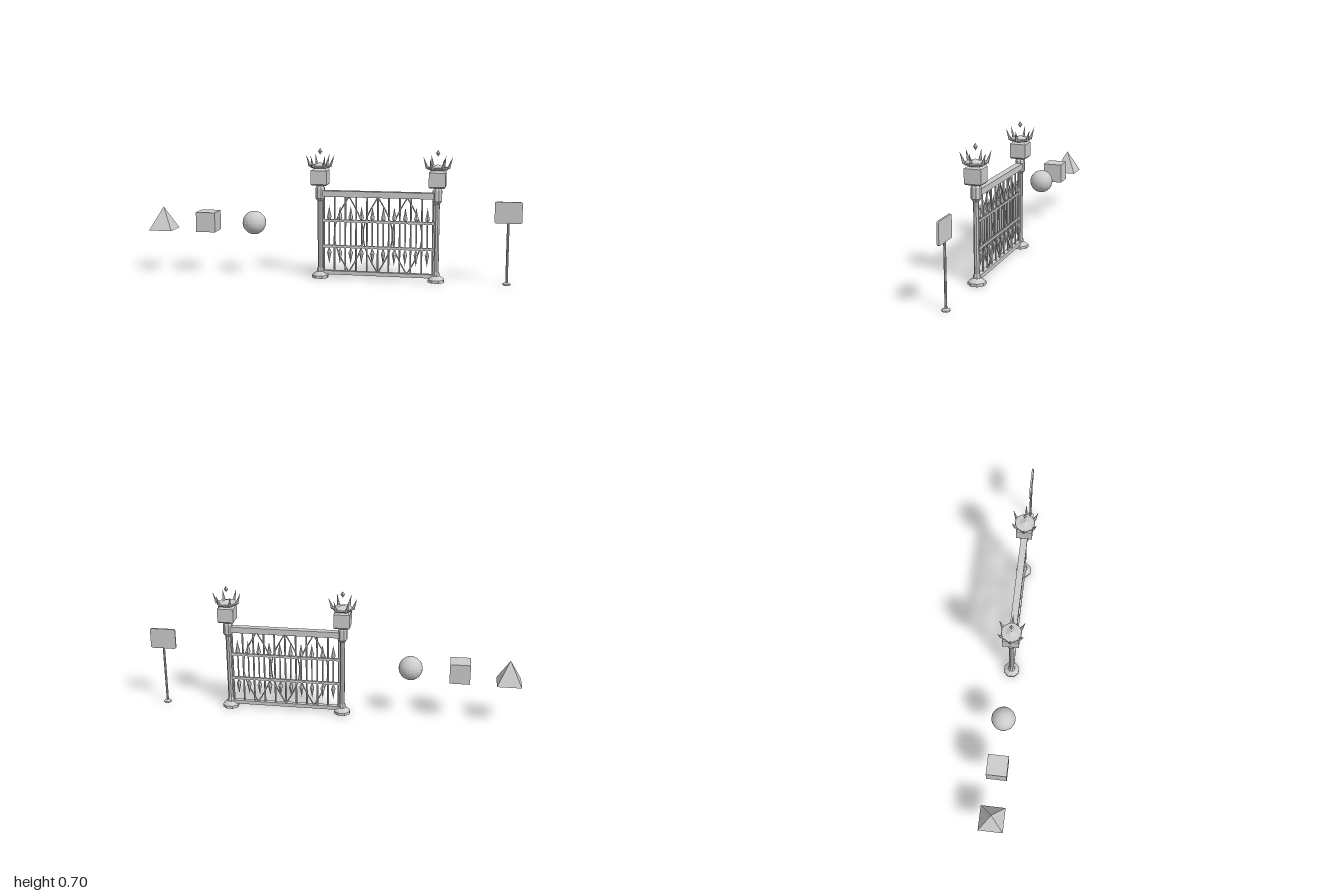
import * as THREE from 'three';

const stone = new THREE.MeshStandardMaterial({ color: 0xcccccc });
stone.name = 'light grey';
stone.flatShading = true;

function add(parent, name, geometry, x = 0, y = 0, z = 0) {
  const mesh = new THREE.Mesh(geometry, stone);
  mesh.name = name;
  mesh.position.set(x, y, z);
  parent.add(mesh);
  return mesh;
}

// Turned solid with few sides from [radius, height] pairs, bottom to top
function turned(points, sides, turn = 0) {
  return new THREE.LatheGeometry(points.map(([r, y]) => new THREE.Vector2(r, y)), sides, turn);
}

// Straight round bar between two heights
function bar(parent, name, x, y0, y1, r, sides = 6) {
  return add(parent, name, new THREE.CylinderGeometry(r, r, y1 - y0, sides), x, (y0 + y1) / 2);
}

function createPost(x) {
  const post = new THREE.Group();
  post.name = 'gatePost';
  post.position.x = x;

  // Base, shaft and collar
  add(post, 'column', turned([
    [0, 0], [0.045, 0], [0.045, 0.015], [0.02, 0.034], [0.019, 0.044], [0.014, 0.056],
    [0.014, 0.415], [0.026, 0.43], [0.026, 0.485], [0.017, 0.5], [0, 0.5],
  ], 8, Math.PI / 8));

  // Square block with chamfered top and bottom
  const q = Math.SQRT2;
  add(post, 'block', turned([
    [0, 0.5], [0.037 * q, 0.5], [0.043 * q, 0.507], [0.043 * q, 0.58], [0.025 * q, 0.594], [0, 0.594],
  ], 4, Math.PI / 4));

  // Hexagonal crown with six outward spikes
  add(post, 'crownBand', turned([
    [0, 0.592], [0.05, 0.592], [0.06, 0.602], [0.057, 0.607], [0.03, 0.609], [0, 0.622],
  ], 6, Math.PI / 6));
  const up = new THREE.Vector3(0, 1, 0);
  for (let i = 0; i < 6; i++) {
    const a = i * Math.PI / 3;
    const foot = new THREE.Vector3(0.054 * Math.cos(a), 0.6, 0.054 * Math.sin(a));
    const tip = new THREE.Vector3(0.076 * Math.cos(a), 0.66, 0.076 * Math.sin(a));
    const dir = tip.clone().sub(foot);
    const mid = foot.clone().add(tip).multiplyScalar(0.5);
    const spike = add(post, 'crownSpike', new THREE.ConeGeometry(0.009, dir.length(), 5), mid.x, mid.y, mid.z);
    spike.quaternion.setFromUnitVectors(up, dir.normalize());
  }

  // Floating gem
  add(post, 'gem', new THREE.OctahedronGeometry(1), 0, 0.679).scale.set(0.012, 0.017, 0.012);
  return post;
}

function createGate() {
  const gate = new THREE.Group();
  gate.name = 'gate';
  gate.position.x = 0.254;

  // Rails
  add(gate, 'topRail', new THREE.BoxGeometry(0.6, 0.032, 0.036), 0, 0.456);
  add(gate, 'bottomRail', new THREE.BoxGeometry(0.6, 0.02, 0.024), 0, 0.03);
  for (const y of [0.311, 0.172]) {
    add(gate, 'crossRail', new THREE.BoxGeometry(0.6, 0.013, 0.012), 0, y);
  }

  // Full-height bars
  const step = 0.058;
  for (let i = -5; i <= 5; i++) bar(gate, 'bar', i * step, 0.03, 0.455, 0.005);

  // Double-ended spears between the bars
  const head = [[0, 0], [0.006, 0], [0.013, 0.015], [0.006, 0.045], [0, 0.078]];
  for (let i = -5; i < 5; i++) {
    const x = (i + 0.5) * step;
    bar(gate, 'spearShaft', x, 0.14, 0.33, 0.004);
    add(gate, 'upperSpearhead', turned(head, 6), x, 0.314);
    add(gate, 'lowerSpearhead', turned(head, 6), x, 0.155).rotation.x = Math.PI;
  }

  // Pointed ovals that overlap the bars
  for (const cx of [-0.155, 0, 0.155]) {
    for (const side of [-1, 1]) {
      const points = [];
      for (let i = 0; i <= 12; i++) {
        const t = i / 12;
        points.push(new THREE.Vector3(cx + side * 0.078 * Math.sin(Math.PI * t), 0.035 + 0.408 * t, 0));
      }
      add(gate, 'ovalStrip', new THREE.TubeGeometry(new THREE.CatmullRomCurve3(points), 16, 0.0035, 5));
    }
  }
  return gate;
}

function createSign() {
  const sign = new THREE.Group();
  sign.name = 'sign';
  sign.position.x = 0.929;
  add(sign, 'signFoot', turned([[0, 0], [0.021, 0], [0.021, 0.007], [0.009, 0.013], [0, 0.013]], 8, Math.PI / 8));
  bar(sign, 'signPole', 0, 0.01, 0.33, 0.0065, 8);

  // Board with rounded corners
  const w = 0.07, h = 0.056, r = 0.01;
  const shape = new THREE.Shape();
  shape.absarc(w - r, h - r, r, 0, Math.PI / 2);
  shape.absarc(-w + r, h - r, r, Math.PI / 2, Math.PI);
  shape.absarc(-w + r, -h + r, r, Math.PI, Math.PI * 1.5);
  shape.absarc(w - r, -h + r, r, Math.PI * 1.5, Math.PI * 2);
  const board = new THREE.ExtrudeGeometry(shape, { depth: 0.01, bevelEnabled: false, curveSegments: 4 });
  add(sign, 'signBoard', board, 0, 0.379, -0.005);
  return sign;
}

export function createModel() {
  const model = new THREE.Group();
  model.name = 'gateAndShapes';

  // Row of floating solids
  const pyramid = new THREE.ConeGeometry(0.064 * Math.SQRT2, 0.125, 4).rotateY(Math.PI / 4);
  add(model, 'pyramid', pyramid, -0.936, 0.2975);
  add(model, 'cube', new THREE.BoxGeometry(0.107, 0.107, 0.107), -0.68, 0.288);
  add(model, 'sphere', new THREE.SphereGeometry(0.0635, 20, 14), -0.42, 0.287);

  // Gate between two crowned posts
  for (const x of [-0.056, 0.564]) model.add(createPost(x));
  model.add(createGate());
  model.add(createSign());
  return model;
}
